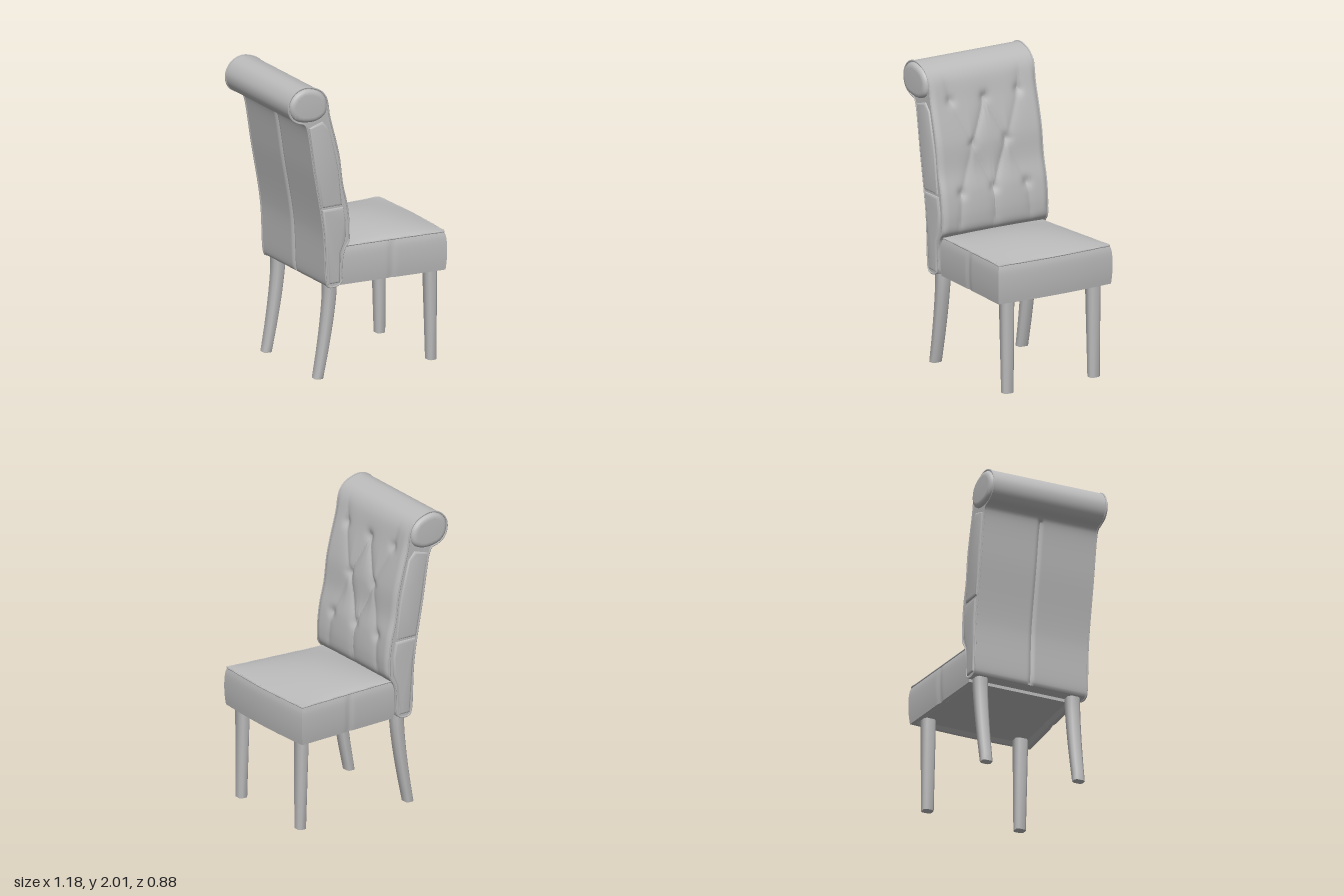
import * as THREE from 'three';
import { toCreasedNormals } from 'three/addons/utils/BufferGeometryUtils.js';

const V = (x, y, z = 0) => new THREE.Vector3(x, y, z);
const grey = new THREE.MeshStandardMaterial({ color: 0xbbbbbb, side: THREE.DoubleSide });
grey.name = 'light grey';

function add(parent, name, geometry, crease = 0.6) {
  const mesh = new THREE.Mesh(toCreasedNormals(geometry, crease), grey);
  mesh.name = name;
  parent.add(mesh);
  return mesh;
}

// Skin over a list of closed rings with equal point counts
function loft(rings, capped) {
  const n = rings[0].length, pos = [], idx = [];
  rings.forEach(r => r.forEach(p => pos.push(p.x, p.y, p.z)));
  for (let i = 0; i < rings.length - 1; i++) {
    for (let j = 0; j < n; j++) {
      const a = i * n + j, b = i * n + (j + 1) % n;
      idx.push(a, b, b + n, a, b + n, a + n);
    }
  }
  if (capped) {
    const last = (rings.length - 1) * n;
    for (let j = 1; j < n - 1; j++) idx.push(0, j + 1, j, last, last + j, last + j + 1);
  }
  const g = new THREE.BufferGeometry();
  g.setAttribute('position', new THREE.Float32BufferAttribute(pos, 3));
  g.setIndex(idx);
  return g;
}

// Flip to the other side in z and restore the corner order
function flipZ(geometry) {
  const g = geometry.index ? geometry.toNonIndexed() : geometry;
  g.scale(1, 1, -1);
  const p = g.attributes.position, a = V(0, 0), b = V(0, 0);
  for (let i = 0; i < p.count; i += 3) {
    a.fromBufferAttribute(p, i + 1);
    b.fromBufferAttribute(p, i + 2);
    p.setXYZ(i + 1, b.x, b.y, b.z);
    p.setXYZ(i + 2, a.x, a.y, a.z);
  }
  return g;
}

// Side outline of the scrolled backrest: up the front, over the roll, down the rear
const outline = [
  [-0.3, 0.63], [-0.21, 0.63], [-0.2, 0.645], [-0.195, 0.75], [-0.18, 0.86], [-0.135, 0.92], [-0.125, 1.0],
  [-0.14, 1.16], [-0.175, 1.31], [-0.2, 1.5], [-0.26, 1.74], [-0.305, 1.9], [-0.35, 1.96], [-0.41, 1.99],
  [-0.48, 2.0], [-0.55, 1.97], [-0.592, 1.9], [-0.585, 1.83], [-0.545, 1.78], [-0.475, 1.755], [-0.458, 1.73],
  [-0.4, 1.4], [-0.333, 1.0], [-0.31, 0.645],
].map(([x, y]) => V(x, y));
const profile = new THREE.CatmullRomCurve3(outline, true).getSpacedPoints(220).slice(0, 220);

// Button positions (z, y) and the folds that join them
const folds = [[0, 1.16, 0, 0.88, 0.8]];
const buttons = [[0, 1.74], [0, 1.16]];
for (const s of [-1, 1]) {
  folds.push(
    [0, 1.74, s * 0.13, 1.46, 1], [s * 0.13, 1.46, 0, 1.16, 1],
    [s * 0.26, 1.75, s * 0.13, 1.46, 0.6], [s * 0.13, 1.46, s * 0.25, 1.16, 0.6],
    [s * 0.26, 1.75, s * 0.29, 1.93, 0.7], [s * 0.25, 1.16, s * 0.28, 0.88, 0.7]);
  buttons.push([s * 0.26, 1.75], [s * 0.13, 1.46], [s * 0.25, 1.16]);
}

function tuftDepth(z, y) {
  let d = 0;
  for (const [z0, y0, z1, y1, k] of folds) {
    const dz = z1 - z0, dy = y1 - y0;
    const t = THREE.MathUtils.clamp(((z - z0) * dz + (y - y0) * dy) / (dz * dz + dy * dy), 0, 1);
    d = Math.max(d, 0.018 * k * Math.exp(-Math.hypot(z - z0 - t * dz, y - y0 - t * dy) / 0.035));
  }
  for (const [bz, by] of buttons) d += 0.014 * Math.exp(-(((z - bz) ** 2 + (y - by) ** 2) / 0.0012));
  const edge = Math.max(0, Math.abs(z) - 0.36) / 0.05;
  return d + 0.022 * edge * edge;
}

function backPoint(p, z) {
  const q = V(p.x, p.y, z);
  const isFront = p.x > -0.25 - 0.18 * (p.y - 0.63);
  if (isFront) {
    const fade = THREE.MathUtils.smoothstep(p.y, 0.86, 0.98) * (1 - THREE.MathUtils.smoothstep(p.y, 1.78, 1.95));
    q.x -= tuftDepth(z, p.y) * fade;
  } else if (p.y > 0.64 && p.y < 1.73) {
    q.x += 0.012 * Math.exp(-((z / 0.012) ** 2)); // rear centre seam
  }
  return q;
}

const toShape = pts => new THREE.Shape(pts.map(p => new THREE.Vector2(p.x, p.y)));

function buildBack() {
  const back = new THREE.Group();
  back.name = 'backrest';
  const rings = [];
  for (let i = 0; i <= 84; i++) {
    const z = -0.405 + 0.81 * i / 84;
    rings.push(profile.map(p => backPoint(p, z)));
  }
  add(back, 'tuftedBack', loft(rings, false));

  const lower = [[-0.295, 0.65], [-0.215, 0.65], [-0.21, 0.85], [-0.175, 0.93], [-0.172, 1.05], [-0.19, 1.15], [-0.34, 1.15], [-0.32, 1.0]];
  const upper = [[-0.345, 1.172], [-0.2, 1.172], [-0.225, 1.4], [-0.245, 1.5], [-0.295, 1.7], [-0.34, 1.75], [-0.435, 1.72], [-0.39, 1.42]];
  const roll = [[-0.46, 1.775], [-0.38, 1.78], [-0.325, 1.82], [-0.325, 1.9], [-0.365, 1.95], [-0.42, 1.975],
    [-0.48, 1.982], [-0.54, 1.955], [-0.575, 1.9], [-0.568, 1.84], [-0.535, 1.797]];
  const toPoints = pts => pts.map(([x, y]) => V(x, y));
  const rollCurve = new THREE.CatmullRomCurve3(toPoints(roll), true).getPoints(40).slice(0, 40);
  const panels = [
    ['lowerSidePanel', toPoints(lower), 0.014],
    ['upperSidePanel', toPoints(upper), 0.014],
    ['rollEnd', rollCurve, 0.028],
  ];
  for (const s of [-1, 1]) {
    const toSide = g => (s > 0 ? g : flipZ(g));
    const rim = profile.map(p => backPoint(p, s * 0.405));
    // Flat end behind the padded panels
    add(back, 'sideEnd', toSide(new THREE.ShapeGeometry(toShape(rim)).translate(0, 0, 0.405)));
    for (const [name, pts, depth] of panels) {
      const g = new THREE.ExtrudeGeometry(toShape(pts), {
        depth: 0.02, bevelThickness: depth, bevelSize: depth * 1.2, bevelOffset: -depth * 0.9, bevelSegments: 4 });
      add(back, name, toSide(g.translate(0, 0, 0.383)), 0.9);
    }
    // Piping along the edge of the side
    const pipe = new THREE.CatmullRomCurve3(rim.filter((_, i) => i % 4 === 0), true);
    add(back, 'piping', new THREE.TubeGeometry(pipe, 160, 0.006, 6, true), 1.2);
  }
  return back;
}

// Maps the unit cube (a, b, c in -1..1) to the padded seat
function seatPoint(a, b, c) {
  const bulge = 0.008 * (1 - b * b) - 0.008 * Math.max(0, b) ** 6;
  let x = 0.185 + 0.375 * a;
  if (a > 0) x += a ** 4 * (0.018 * (1 - c * c) + bulge);
  const seam = 0.008 * Math.exp(-(((x - 0.175) / 0.02) ** 2)) * (1 - Math.max(0, b) ** 4);
  const z = c * (0.408 + 0.025 * a + bulge - seam);
  let y = 0.75 + 0.13 * b;
  if (b > 0.99) y += 0.055 * (1 - a * a) * (1 - c * c) ** 0.7;
  if (b < -0.99 && Math.max(Math.abs(a), Math.abs(c)) < 0.9) y += 0.02; // recessed underside
  return V(x, y, z);
}

function buildSeat() {
  const seat = new THREE.Group();
  seat.name = 'seat';
  const g = new THREE.BoxGeometry(2, 2, 2, 40, 10, 32);
  const p = g.attributes.position;
  for (let i = 0; i < p.count; i++) {
    const q = seatPoint(p.getX(i), p.getY(i), p.getZ(i));
    p.setXYZ(i, q.x, q.y, q.z);
  }
  add(seat, 'seatCushion', g);
  // Piping around the top edge
  const edge = [];
  const corners = [[-1, -1], [1, -1], [1, 1], [-1, 1]];
  corners.forEach(([a, c], i) => {
    const [a2, c2] = corners[(i + 1) % 4];
    for (let t = 0; t < 12; t++) edge.push(seatPoint(a + (a2 - a) * t / 12, 0.98, c + (c2 - c) * t / 12));
  });
  add(seat, 'seatPiping', new THREE.TubeGeometry(new THREE.CatmullRomCurve3(edge, true), 120, 0.006, 6, true), 1.2);
  return seat;
}

// Leg sections: [y, centre x, half depth, half width], with chamfered corners
function legGeometry(sections, z) {
  const k = 0.6;
  const ring = [[1, k], [k, 1], [-k, 1], [-1, k], [-1, -k], [-k, -1], [k, -1], [1, -k]];
  return loft(sections.map(([y, x, hx, hz]) => ring.map(([u, v]) => V(x + u * hx, y, z - v * hz))), true);
}

export function createModel() {
  const chair = new THREE.Group();
  chair.name = 'diningChair';
  chair.add(buildBack(), buildSeat());
  const frontSections = [[0, 0.508, 0.031, 0.036], [0.66, 0.498, 0.04, 0.045]];
  const rearCurve = new THREE.CatmullRomCurve3([V(-0.335, 0), V(-0.297, 0.2), V(-0.266, 0.4), V(-0.25, 0.55), V(-0.247, 0.66)]);
  const rearSections = rearCurve.getPoints(14).map(p => [p.y, p.x, 0.03 + 0.018 * p.y, 0.037 + 0.012 * p.y]);
  for (const s of [-1, 1]) {
    add(chair, 'frontLeg', legGeometry(frontSections, s * 0.333), 0.9);
    add(chair, 'rearLeg', legGeometry(rearSections, s * 0.333), 0.9);
  }
  return chair;
}
